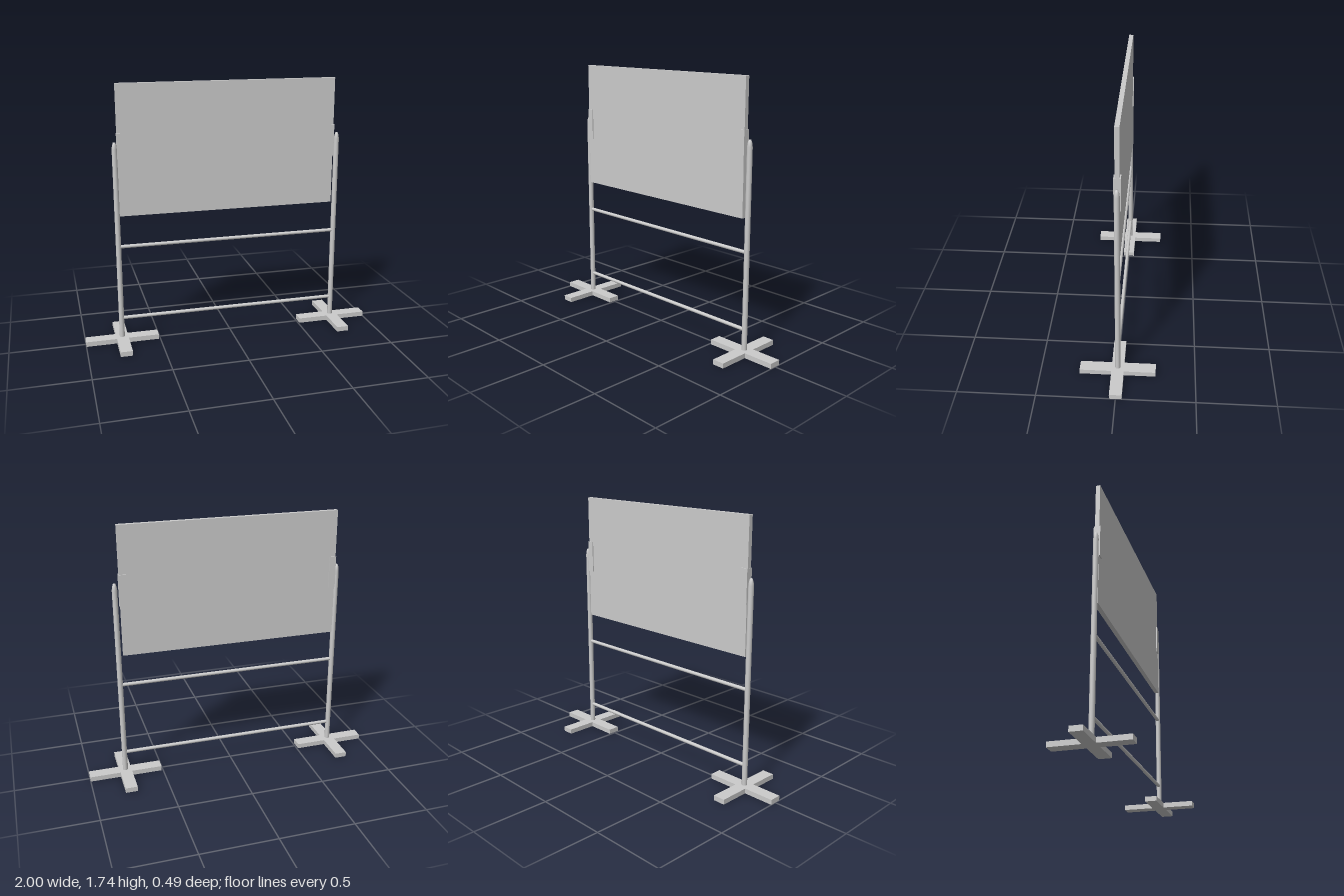
import * as THREE from 'three';

const material = new THREE.MeshStandardMaterial({ color: 0xcccccc });

function part(name, geometry, x, y, z = 0) {
  const mesh = new THREE.Mesh(geometry, material);
  mesh.name = name;
  mesh.position.set(x, y, z);
  return mesh;
}

// Plus-shaped plate lying on the ground
function crossGeometry(reach, half, height) {
  const a = reach, b = half;
  const outline = [
    [a, -b], [a, b], [b, b], [b, a], [-b, a], [-b, b],
    [-a, b], [-a, -b], [-b, -b], [-b, -a], [b, -a], [b, -b],
  ].map(([x, y]) => new THREE.Vector2(x, y));
  const geometry = new THREE.ExtrudeGeometry(new THREE.Shape(outline), { depth: height, bevelEnabled: false });
  return geometry.rotateX(-Math.PI / 2);
}

// Round post with a tapered, blunt tip
function postGeometry(bottom, top, radius) {
  const profile = [
    [0, bottom], [radius, bottom], [radius, top - 0.045],
    [radius * 0.8, top - 0.02], [radius * 0.45, top - 0.002], [0, top],
  ].map(([x, y]) => new THREE.Vector2(x, y));
  return new THREE.LatheGeometry(profile, 12);
}

export function createModel() {
  const model = new THREE.Group();
  model.name = 'standingBoard';

  // Panel, set a hair towards the right post
  model.add(part('panel', new THREE.BoxGeometry(1.462, 0.856, 0.029), -0.007, 1.31));

  for (const [side, s, inner, outer] of [['left', 1, 0.681, 0.728], ['right', -1, 0.694, 0.74]]) {
    const stand = new THREE.Group();
    stand.name = side + 'Stand';
    stand.add(part(side + 'Foot', crossGeometry(0.245, 0.04, 0.033), s * 0.755, 0));
    stand.add(part(side + 'Post', postGeometry(0.03, 1.368, 0.0175), s * 0.755, 0));
    // Clamp wrapped round the panel edge
    stand.add(part(side + 'Clamp', new THREE.BoxGeometry(outer - inner, 0.215, 0.043), s * (inner + outer) / 2, 1.317));
    model.add(stand);
  }

  // Cross rails between the posts
  for (const [name, y] of [['upperRail', 0.671], ['lowerRail', 0.167]]) {
    const rail = new THREE.CylinderGeometry(0.0118, 0.0118, 1.49, 12).rotateZ(Math.PI / 2);
    model.add(part(name, rail, 0, y));
  }
  return model;
}
